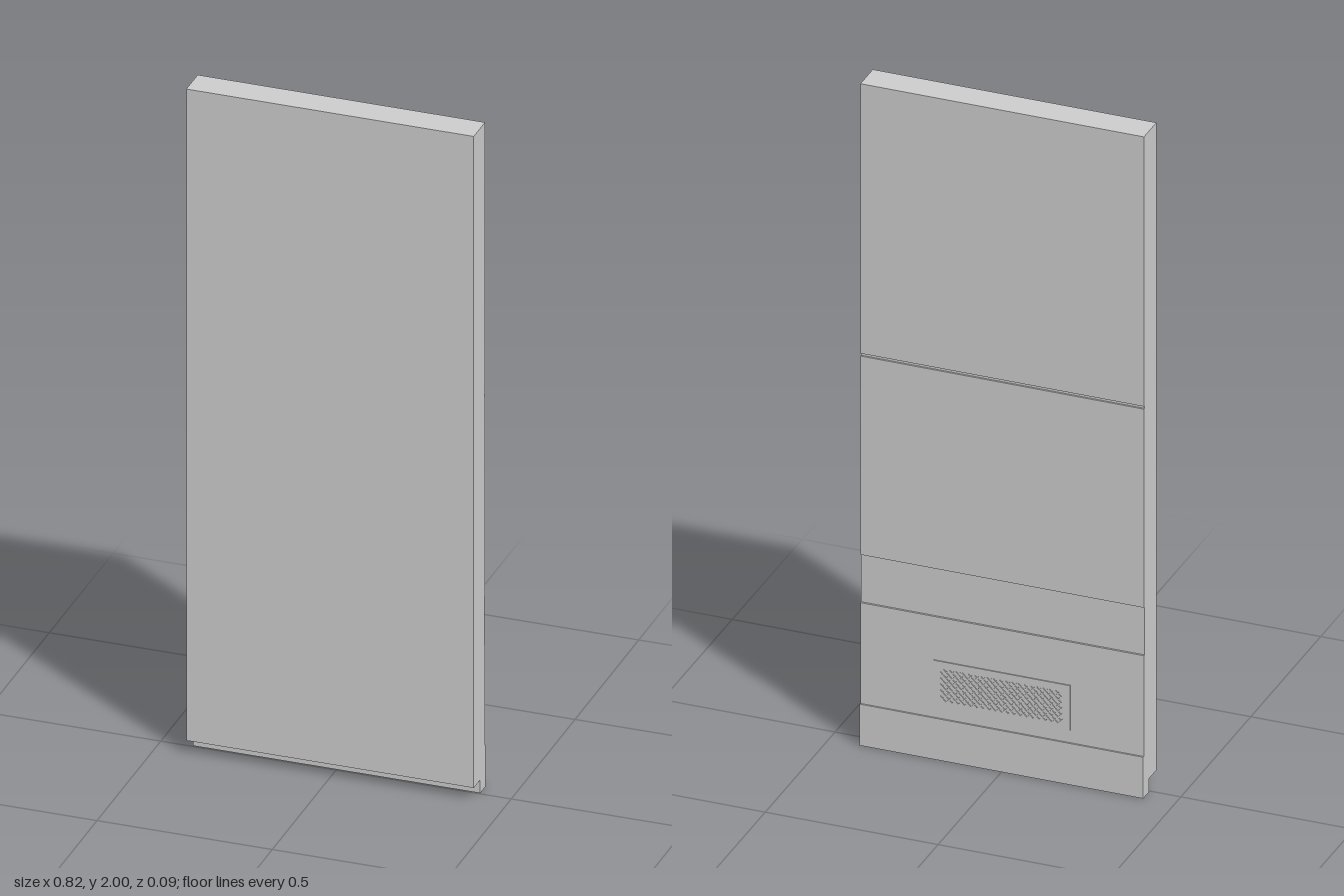
import * as THREE from 'three';

const WIDTH = 0.82;

export function createModel() {
  const model = new THREE.Group();
  const material = new THREE.MeshStandardMaterial({ color: 0xcccccc });

  // Full-width slab between two heights and two depths
  function slab(name, y0, y1, zBack, zFront) {
    const mesh = new THREE.Mesh(new THREE.BoxGeometry(WIDTH, y1 - y0, zFront - zBack), material);
    mesh.name = name;
    mesh.position.set(0, (y0 + y1) / 2, (zBack + zFront) / 2);
    model.add(mesh);
  }

  // Plain front panel; its back stays exposed as the recessed band and the seam
  slab('frontPanel', 0.04, 2, -0.037, 0.047);

  // Raised back panels
  slab('upperBackPanel', 1.184, 2, -0.042, -0.037);
  slab('middleBackPanel', 0.575, 1.176, -0.042, -0.037);
  slab('ventBackPanel', 0.125, 0.43, -0.0425, -0.037);

  // Foot strip, thicker at the back and stepped below the front panel
  slab('footStrip', 0, 0.125, -0.047, -0.004);

  // Vent plate with staggered diamond perforations
  const halfW = 0.198, halfH = 0.068;
  const plate = new THREE.Shape([
    new THREE.Vector2(-halfW, -halfH), new THREE.Vector2(halfW, -halfH),
    new THREE.Vector2(halfW, halfH), new THREE.Vector2(-halfW, halfH),
  ]);
  const pitchX = 0.018, pitchY = 0.009, rx = 0.0065, ry = 0.0065;
  for (let row = -5; row <= 5; row++) {
    const odd = Math.abs(row) % 2;
    const count = odd ? 19 : 20;
    for (let i = 0; i < count; i++) {
      const cx = (i - (count - 1) / 2) * pitchX;
      const cy = row * pitchY;
      plate.holes.push(new THREE.Path([
        new THREE.Vector2(cx - rx, cy), new THREE.Vector2(cx, cy + ry),
        new THREE.Vector2(cx + rx, cy), new THREE.Vector2(cx, cy - ry),
      ]));
    }
  }
  const vent = new THREE.Mesh(
    new THREE.ExtrudeGeometry(plate, { depth: 0.003, bevelEnabled: false }), material);
  vent.name = 'ventGrille';
  vent.position.set(0, 0.231, -0.0455);
  model.add(vent);

  return model;
}
